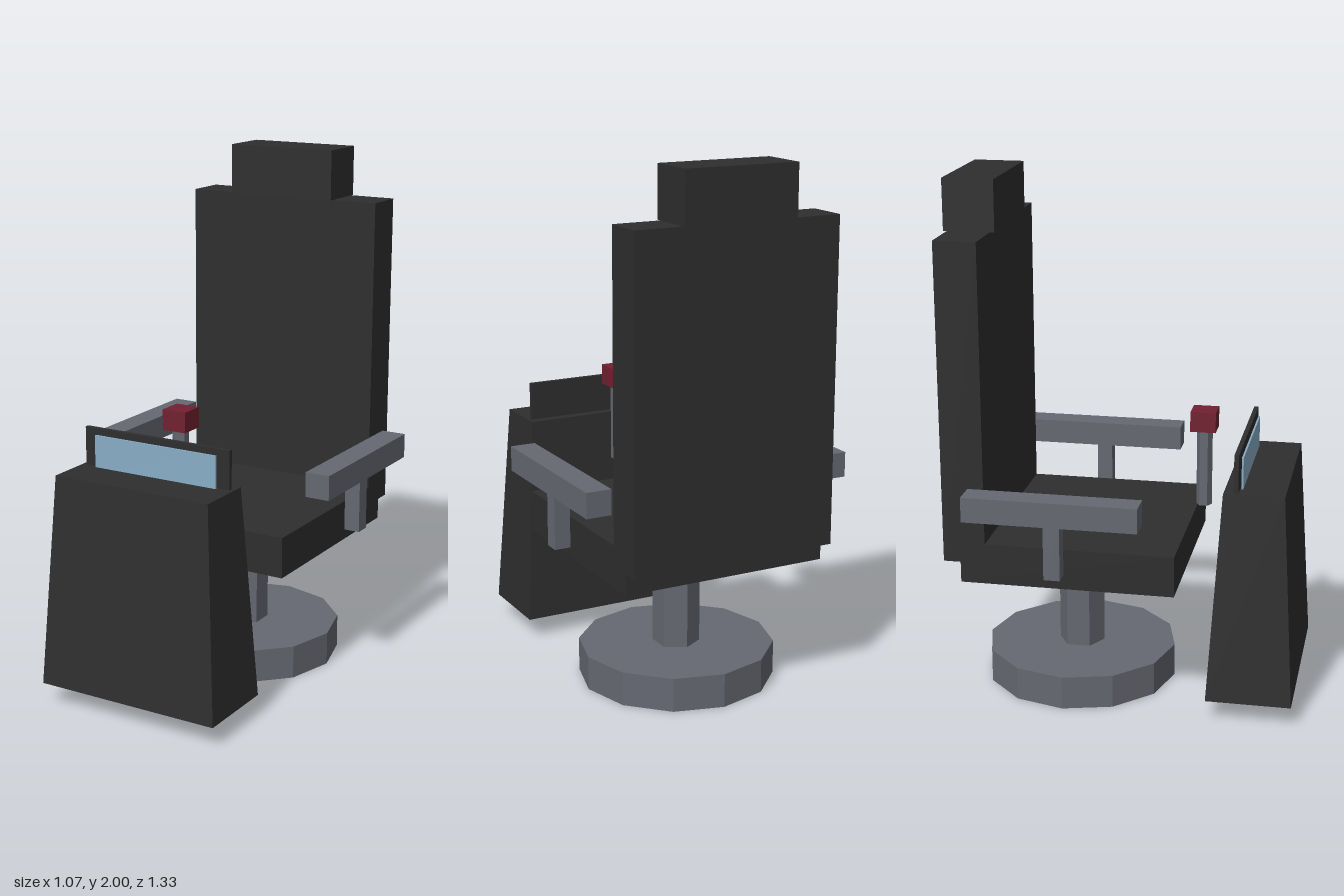
import * as THREE from 'three';

const mat = (name, color) => {
  const m = new THREE.MeshStandardMaterial({ color });
  m.name = name;
  return m;
};

export function createModel() {
  const dark = mat('dark upholstery', 0x2e2e2e);
  const metal = mat('grey metal', 0x656871);
  const red = mat('red', 0x722030);
  const blue = mat('screen blue', 0x88adc7);

  const group = new THREE.Group();
  group.name = 'controlChair';

  const add = (name, geometry, material) => {
    const mesh = new THREE.Mesh(geometry, material);
    mesh.name = name;
    group.add(mesh);
    return mesh;
  };

  // Box given by its extents on each axis
  const box = (name, material, [x0, x1], [y0, y1], [z0, z1]) =>
    add(name, new THREE.BoxGeometry(x1 - x0, y1 - y0, z1 - z0), material)
      .position.set((x0 + x1) / 2, (y0 + y1) / 2, (z0 + z1) / 2);

  // Faceted upright cylinder
  const post = (name, material, radius, sides, y0, y1, z) => {
    const geo = new THREE.CylinderGeometry(radius, radius, y1 - y0, sides).toNonIndexed();
    geo.computeVertexNormals();
    add(name, geo, material).position.set(0, (y0 + y1) / 2, z);
  };

  // Pedestal
  post('base', metal, 0.375, 12, 0, 0.13, -0.21);
  post('column', metal, 0.09, 6, 0.13, 0.51, -0.21);

  // Seat, back and headrest
  box('seat', dark, [-0.405, 0.405], [0.51, 0.667], [-0.585, 0.225]);
  box('backrest', dark, [-0.405, 0.405], [0.59, 1.807], [-0.65, -0.49]);
  box('headrest', dark, [-0.222, 0.222], [1.807, 2], [-0.665, -0.472]);

  // Armrests with their supports
  for (const [side, s] of [['left', 1], ['right', -1]]) {
    const span = (a, b) => (s > 0 ? [a, b] : [-b, -a]);
    box(side + 'Armrest', metal, span(0.438, 0.535), [0.8, 0.895], [-0.54, 0.112]);
    box(side + 'ArmSupport', metal, span(0.457, 0.519), [0.59, 0.8], [-0.239, -0.178]);
  }

  // Control stick
  post('stickShaft', metal, 0.03, 6, 0.735, 1.037, 0.275);
  box('stickKnob', red, [-0.048, 0.048], [1.037, 1.115], [0.225, 0.322]);

  // Console: a box whose top corners are drawn in
  const body = new THREE.BoxGeometry(0.746, 0.813, 0.324);
  const p = body.attributes.position;
  for (let i = 0; i < p.count; i++) {
    if (p.getY(i) > 0) {
      p.setX(i, p.getX(i) * 0.87);
      p.setZ(i, p.getZ(i) * 0.7);
    }
  }
  const flat = body.toNonIndexed();
  flat.computeVertexNormals();
  add('console', flat, dark).position.set(0, 0.4885, 0.503);

  // Display standing on the console
  box('displayFrame', dark, [-0.309, 0.309], [0.88, 1.042], [0.427, 0.444]);
  box('displayScreen', blue, [-0.26, 0.26], [0.88, 1.018], [0.449, 0.456]);

  return group;
}
